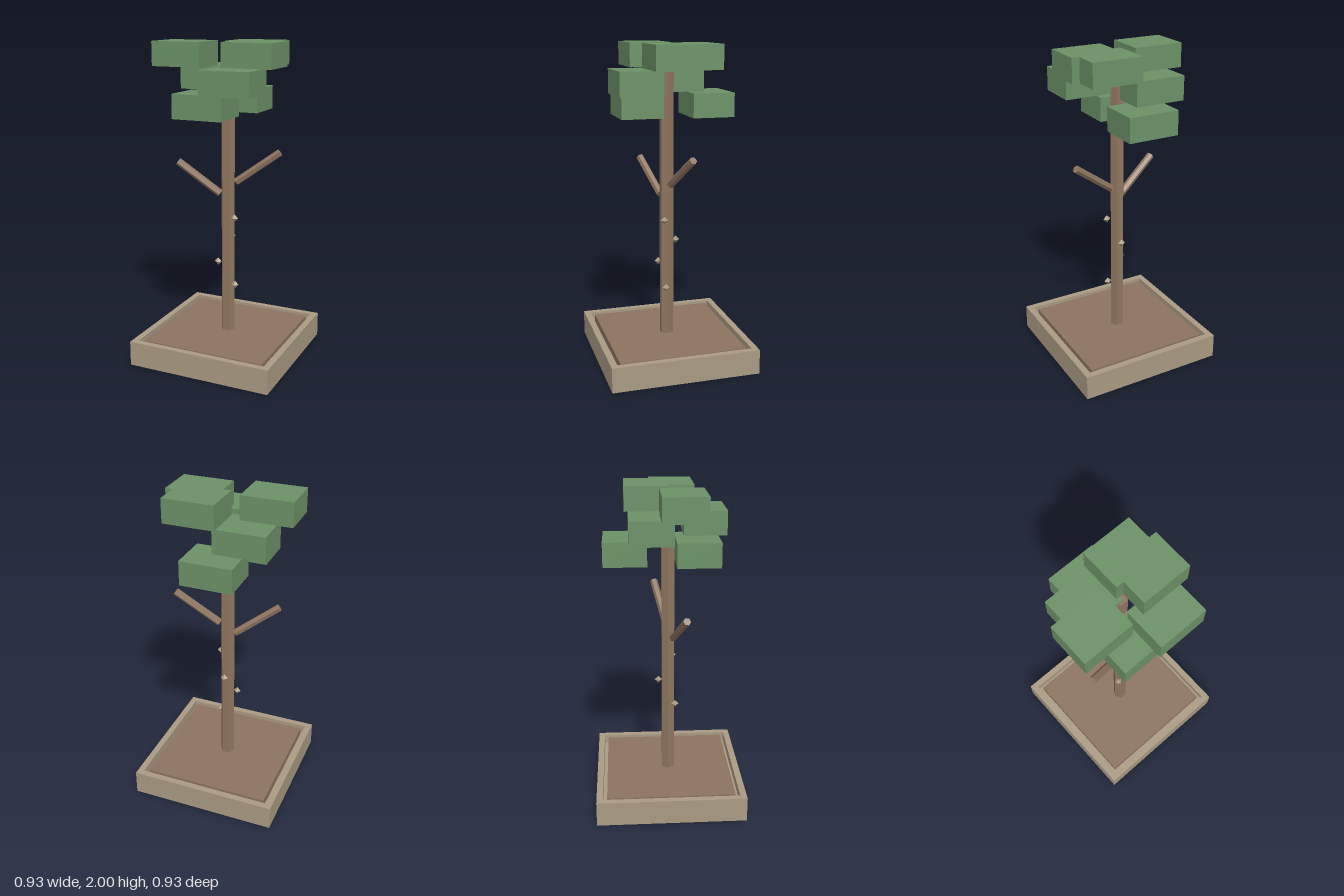
import * as THREE from 'three';

const mat = (name, color) => {
  const m = new THREE.MeshStandardMaterial({ color, flatShading: true });
  m.name = name;
  return m;
};

export function createModel() {
  const stone = mat('planter tan', 0xa99a83);
  const earth = mat('soil brown', 0x8b7460);
  const bark = mat('bark brown', 0x8f7560);
  const leaf = mat('leaf green', 0x6c9167);

  const model = new THREE.Group();
  model.name = 'pottedTree';
  const add = (name, geometry, material, x = 0, y = 0, z = 0) => {
    const mesh = new THREE.Mesh(geometry, material);
    mesh.name = name;
    mesh.position.set(x, y, z);
    model.add(mesh);
    return mesh;
  };

  // Square planter: walls around a floor, with a narrow gap around the soil
  const square = (Type, s) => {
    const p = new Type();
    p.moveTo(-s, -s);
    p.lineTo(s, -s);
    p.lineTo(s, s);
    p.lineTo(-s, s);
    p.closePath();
    return p;
  };
  const outline = square(THREE.Shape, 0.465);
  outline.holes.push(square(THREE.Path, 0.425));
  const walls = new THREE.ExtrudeGeometry(outline, { depth: 0.157, bevelEnabled: false });
  walls.rotateX(-Math.PI / 2);
  add('planterWalls', walls, stone);
  add('planterFloor', new THREE.BoxGeometry(0.85, 0.1, 0.85), stone, 0, 0.05, 0);
  add('soil', new THREE.BoxGeometry(0.8, 0.09, 0.8), earth, 0, 0.105, 0);

  // Six-sided trunk with corners toward left and right
  const trunk = new THREE.CylinderGeometry(0.045, 0.045, 1.7, 6);
  trunk.rotateY(Math.PI / 6);
  add('trunk', trunk, bark, 0, 0.99, 0);

  // Bare branches
  const branch = (name, from, to) => {
    const a = new THREE.Vector3(...from), b = new THREE.Vector3(...to);
    const dir = b.clone().sub(a);
    const mesh = add(name, new THREE.CylinderGeometry(0.024, 0.024, dir.length(), 6), bark);
    mesh.position.copy(a).add(b).multiplyScalar(0.5);
    mesh.quaternion.setFromUnitVectors(new THREE.Vector3(0, 1, 0), dir.normalize());
  };
  branch('leftBranch', [0.05, 1.14, -0.01], [0.315, 1.335, -0.072]);
  branch('rightBranch', [-0.04, 1.065, 0.03], [-0.3, 1.26, 0.095]);

  // Small buds on the trunk
  [[0.058, 0.47, 0.02], [-0.05, 0.62, 0.042], [0, 0.77, -0.06], [0.057, 0.915, 0.03]]
    .forEach((p, i) => add('bud' + (i + 1), new THREE.OctahedronGeometry(0.025), stone, ...p));

  // Leaf blocks in three layers, each given by its centre
  const layers = [
    [1.631, [[-0.021, -0.26], [-0.069, 0.171]]],
    [1.779, [[-0.155, -0.108], [0.129, 0.225]]],
    [1.926, [[-0.251, 0.075], [0.136, -0.13], [0.183, 0.028]]],
  ];
  layers.forEach(([y, spots], i) => spots.forEach(([x, z], j) =>
    add(`leafBlock${i + 1}${'abc'[j]}`, new THREE.BoxGeometry(0.316, 0.148, 0.26), leaf, x, y, z)));

  return model;
}
